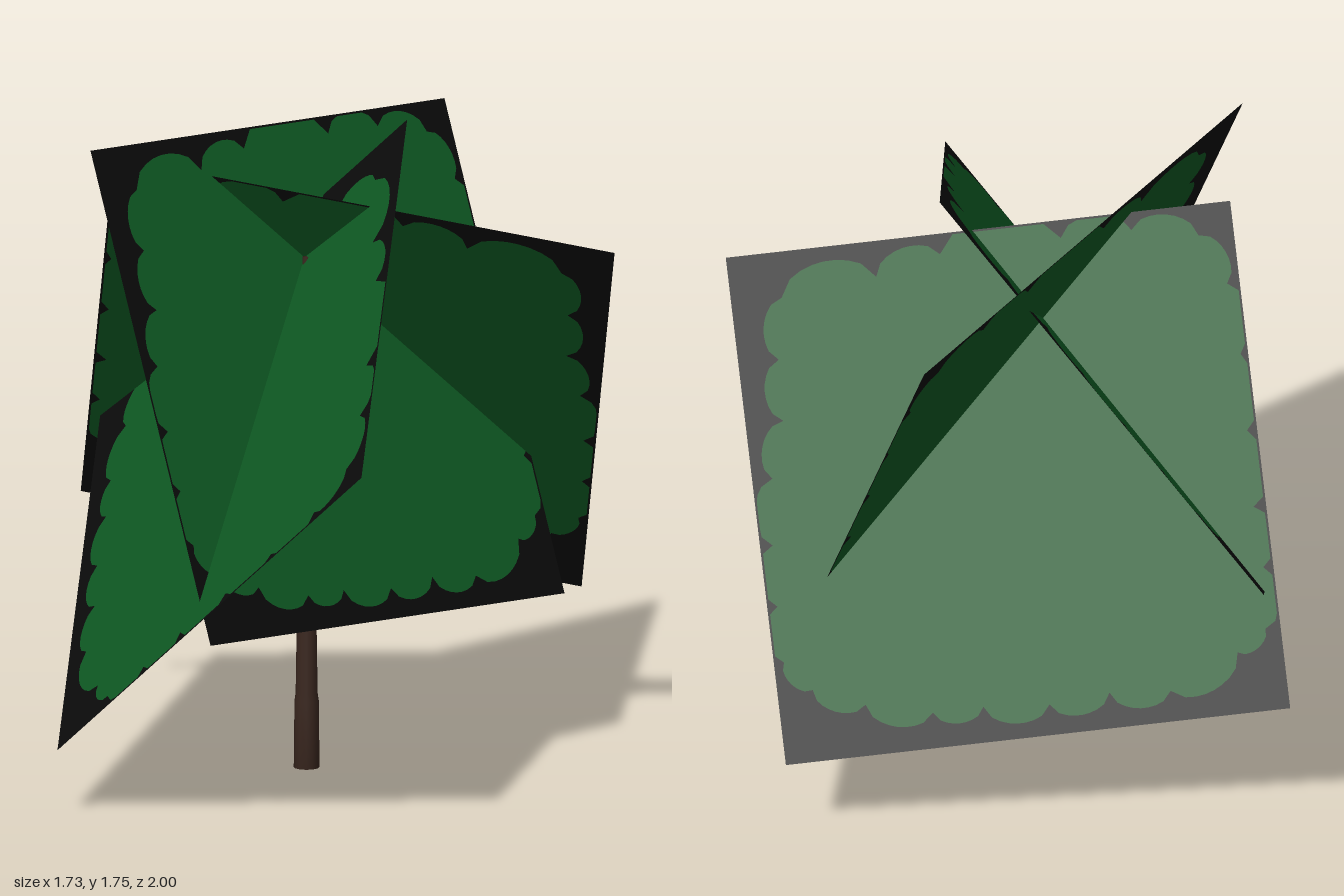
import * as THREE from 'three';

const SIZE = 1.345; // side of each square foliage card

// Inner corners of the leafy outline, clockwise from top left (u right, v down, 0..1)
const CUSPS = [
  [0.10, 0.09], [0.29, 0.07], [0.42, 0.04], [0.66, 0.035], [0.80, 0.035], [0.93, 0.06],
  [0.975, 0.16], [0.985, 0.30], [0.98, 0.45], [0.975, 0.60], [0.98, 0.72], [0.97, 0.84],
  [0.91, 0.88], [0.77, 0.94], [0.65, 0.93], [0.53, 0.94], [0.40, 0.93], [0.30, 0.93],
  [0.17, 0.90], [0.07, 0.86], [0.02, 0.80], [0.02, 0.69], [0.025, 0.57], [0.04, 0.44],
  [0.075, 0.33], [0.08, 0.21],
];

// Scalloped outline: a rounded bump between each pair of corners
function leafOutline() {
  const points = [];
  const clamp = (t) => THREE.MathUtils.clamp(t, 0.004, 0.996);
  CUSPS.forEach(([u0, v0], i) => {
    const [u1, v1] = CUSPS[(i + 1) % CUSPS.length];
    for (let k = 0; k < 8; k++) {
      const t = k / 8;
      const bulge = 0.27 * Math.sqrt(Math.sin(Math.PI * t));
      const u = clamp(u0 + (u1 - u0) * t + (v1 - v0) * bulge);
      const v = clamp(v0 + (v1 - v0) * t - (u1 - u0) * bulge);
      points.push(new THREE.Vector2(u * SIZE, -v * SIZE));
    }
  });
  return points;
}

export function createModel() {
  const model = new THREE.Group();
  model.name = 'tree';

  const leafGreen = new THREE.MeshStandardMaterial({ color: 0x0e5a23, side: THREE.DoubleSide });
  leafGreen.name = 'leafGreen';
  const borderBlack = new THREE.MeshStandardMaterial({ color: 0x0b0b0b, side: THREE.DoubleSide });
  borderBlack.name = 'borderBlack';
  const barkBrown = new THREE.MeshStandardMaterial({ color: 0x3a271f });
  barkBrown.name = 'barkBrown';

  // Flat card faces: green foliage and the dark border around it
  const outline = leafOutline();
  const leafGeometry = new THREE.ShapeGeometry(new THREE.Shape(outline));
  const border = new THREE.Shape([
    new THREE.Vector2(0, 0), new THREE.Vector2(0, -SIZE),
    new THREE.Vector2(SIZE, -SIZE), new THREE.Vector2(SIZE, 0),
  ]);
  border.holes.push(new THREE.Path(outline));
  const borderGeometry = new THREE.ShapeGeometry(border);

  // Three tilted cards, each given by its top left, top right and bottom left corners
  const cards = [
    ['frontFoliage', [-0.71, 1.755, -0.04], [0.565, 1.665, -0.45], [-0.63, 0.515, 0.48]],
    ['sideFoliage', [0.19, 1.755, 0.045], [-0.46, 1.06, 1.0], [-0.22, 0.87, -0.88]],
    ['backFoliage', [0.57, 1.445, 0.49], [-0.515, 1.665, -0.275], [0.865, 0.36, -0.235]],
  ];
  for (const [name, topLeft, topRight, bottomLeft] of cards) {
    const origin = new THREE.Vector3(...topLeft);
    const right = new THREE.Vector3(...topRight).sub(origin).normalize();
    const up = origin.clone().sub(new THREE.Vector3(...bottomLeft));
    up.addScaledVector(right, -up.dot(right)).normalize();
    const normal = right.clone().cross(up);

    const card = new THREE.Group();
    card.name = name;
    const leaves = new THREE.Mesh(leafGeometry, leafGreen);
    leaves.name = name + 'Leaves';
    const edge = new THREE.Mesh(borderGeometry, borderBlack);
    edge.name = name + 'Border';
    card.add(leaves, edge);
    card.quaternion.setFromRotationMatrix(new THREE.Matrix4().makeBasis(right, up, normal));
    card.position.copy(origin);
    model.add(card);
  }

  // Slender tapering trunk with a slightly thicker foot
  const profile = [[0, 0], [0.034, 0], [0.032, 0.18], [0.029, 0.2], [0.011, 1.38], [0, 1.38]];
  const trunk = new THREE.Mesh(
    new THREE.LatheGeometry(profile.map(([r, y]) => new THREE.Vector2(r, y)), 12),
    barkBrown,
  );
  trunk.name = 'trunk';
  trunk.position.set(-0.035, 0, -0.095);
  model.add(trunk);

  return model;
}
